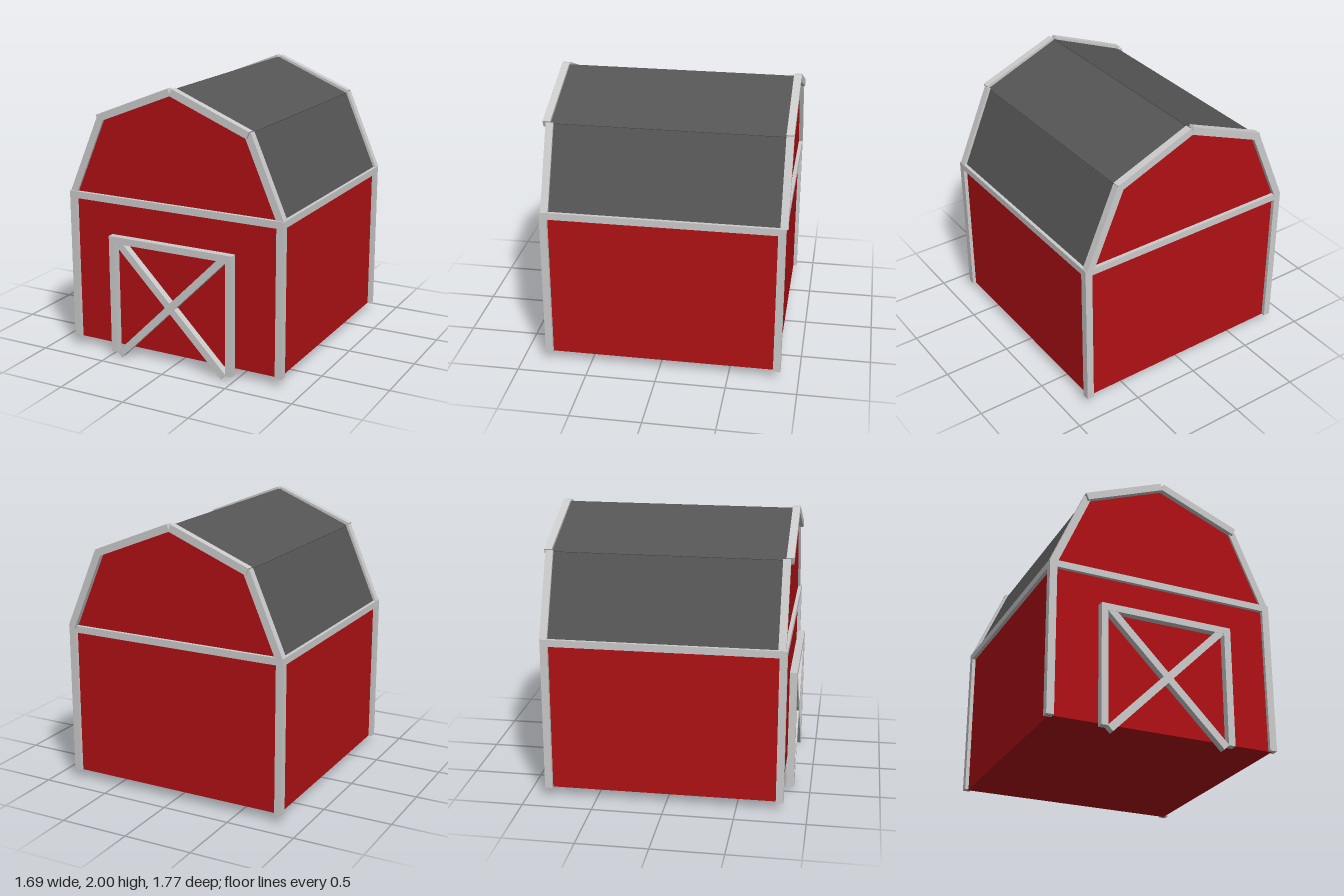
import * as THREE from 'three';

const material = (color) => new THREE.MeshStandardMaterial({ color, flatShading: true });

export function createModel() {
  const barn = new THREE.Group();
  barn.name = 'barn';
  const red = material(0xb11014), dark = material(0x555555), grey = material(0xcccccc);
  const W = 0.82, BASE = 0.07, EAVE = 1.165, FRONT = 0.805, BACK = -0.845;
  const MID = (FRONT + BACK) / 2, DEPTH = FRONT - BACK, T = 0.053;

  const box = (name, parent, mat, size, pos) => {
    const mesh = new THREE.Mesh(new THREE.BoxGeometry(...size), mat);
    mesh.name = name;
    mesh.position.set(...pos);
    parent.add(mesh);
    return mesh;
  };
  // A box running from a to b in the xy plane
  const beam = (name, parent, mat, a, b, z, depth, width = T) => {
    const dx = b[0] - a[0], dy = b[1] - a[1];
    const mesh = box(name, parent, mat, [Math.hypot(dx, dy), width, depth],
      [(a[0] + b[0]) / 2, (a[1] + b[1]) / 2, z]);
    mesh.rotation.z = Math.atan2(dy, dx);
    return mesh;
  };

  // Walls and gables in one gambrel-shaped extrusion
  const profile = new THREE.Shape([
    [-W, BASE], [W, BASE], [W, EAVE], [0.57, 1.73], [0, 1.965], [-0.57, 1.73], [-W, EAVE],
  ].map(([x, y]) => new THREE.Vector2(x, y)));
  const walls = new THREE.Mesh(
    new THREE.ExtrudeGeometry(profile, { depth: DEPTH, bevelEnabled: false }), red);
  walls.name = 'walls';
  walls.position.z = BACK;
  barn.add(walls);

  // Roof panels
  const roof = new THREE.Group();
  roof.name = 'roof';
  barn.add(roof);
  for (const s of [-1, 1]) {
    beam('lowerRoofPanel', roof, dark, [s * 0.819, 1.17], [s * 0.574, 1.738], MID, DEPTH, 0.018);
    beam('upperRoofPanel', roof, dark, [s * 0.578, 1.736], [s * 0.003, 1.972], MID, DEPTH, 0.018);
  }

  // Corner posts, eave beams and gable trim
  const trim = new THREE.Group();
  trim.name = 'trim';
  barn.add(trim);
  for (const z of [FRONT, BACK]) {
    const zUpper = z === FRONT ? 0.817 : -0.857;
    for (const s of [-1, 1]) {
      const zLower = z === FRONT ? 0.795 : s > 0 ? -0.857 : -0.847;
      box('cornerPost', trim, grey, [T, 1.16 - BASE, T], [s * W, (1.16 + BASE) / 2, z]);
      beam('lowerGableTrim', trim, grey, [s * 0.818, 1.175], [s * 0.572, 1.745], zLower, T);
      beam('upperGableTrim', trim, grey, [s * 0.585, 1.738], [s * 0.005, 1.971], zUpper, T);
    }
    box('gableBeam', trim, grey, [2 * W + T, 0.05, T], [0, 1.16, z]);
  }
  for (const s of [-1, 1]) {
    box('eaveBeam', trim, grey, [T, 0.05, DEPTH + T], [s * W, 1.16, MID]);
  }

  // Framed door with a cross brace
  const door = new THREE.Group();
  door.name = 'door';
  barn.add(door);
  box('doorTop', door, grey, [0.98, 0.05, T], [0, 0.885, 0.857]);
  for (const s of [-1, 1]) {
    box('doorSide', door, grey, [0.05, 0.86, T], [s * 0.465, 0.465, 0.857]);
    beam('doorBrace', door, grey, [s * 0.425, 0.019], [s * -0.42, 0.872], 0.855, T);
  }
  return barn;
}
